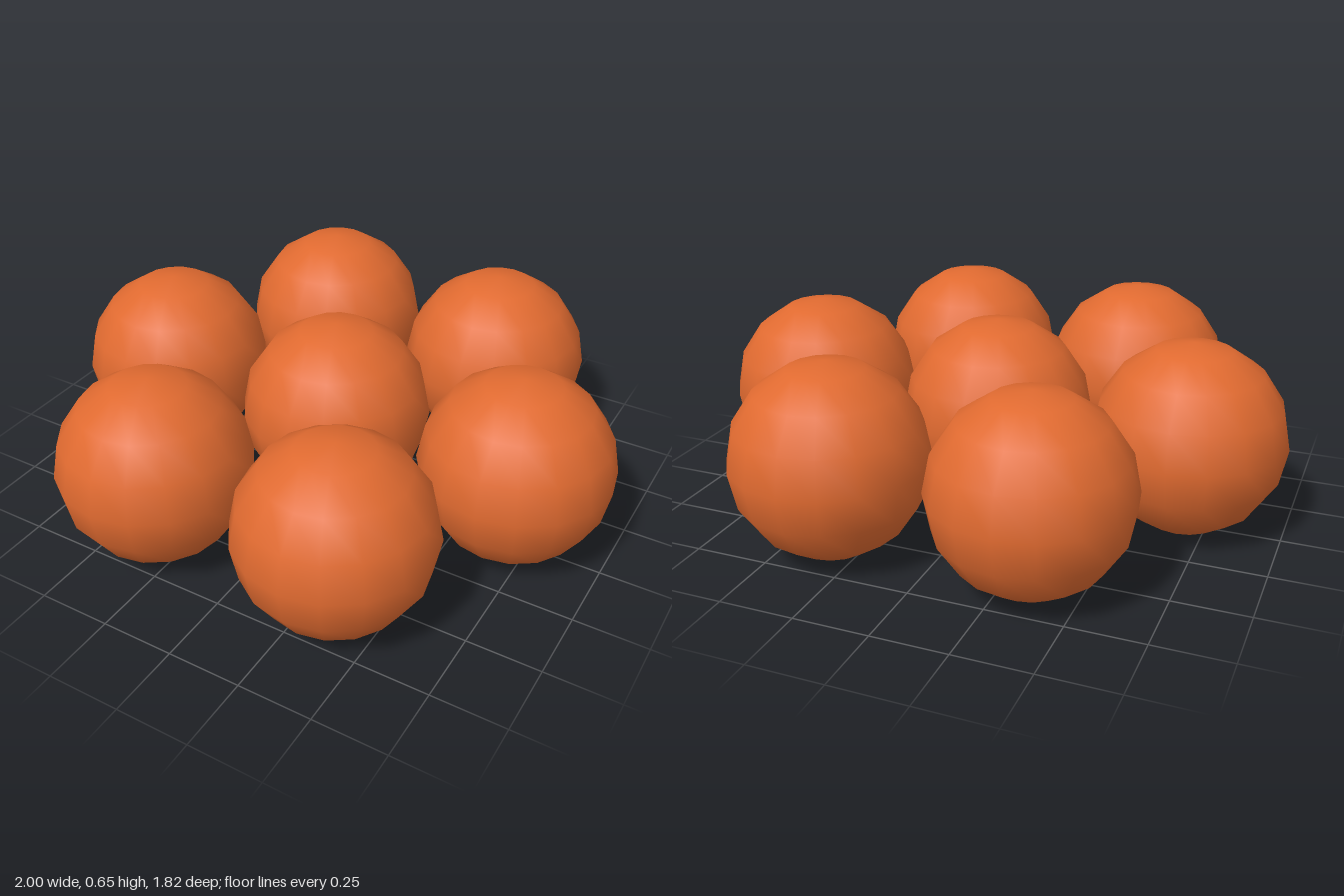
import * as THREE from 'three';

export function createModel() {
  const group = new THREE.Group();
  group.name = 'sphereCluster';

  const orange = new THREE.MeshStandardMaterial({ color: 0xe06a30 });
  orange.name = 'burnt orange';

  const radius = 0.325;
  const spacing = 0.675;
  const ball = new THREE.SphereGeometry(radius, 16, 8);

  const addBall = (name, x, z) => {
    const mesh = new THREE.Mesh(ball, orange);
    mesh.name = name;
    mesh.position.set(x, radius, z);
    group.add(mesh);
  };

  // one ball in the middle
  addBall('centreBall', 0, 0);

  // six balls in a hexagonal ring around it
  for (let i = 0; i < 6; i++) {
    const a = (i * Math.PI) / 3;
    addBall(`ringBall${i + 1}`, spacing * Math.cos(a), spacing * Math.sin(a));
  }
  return group;
}
